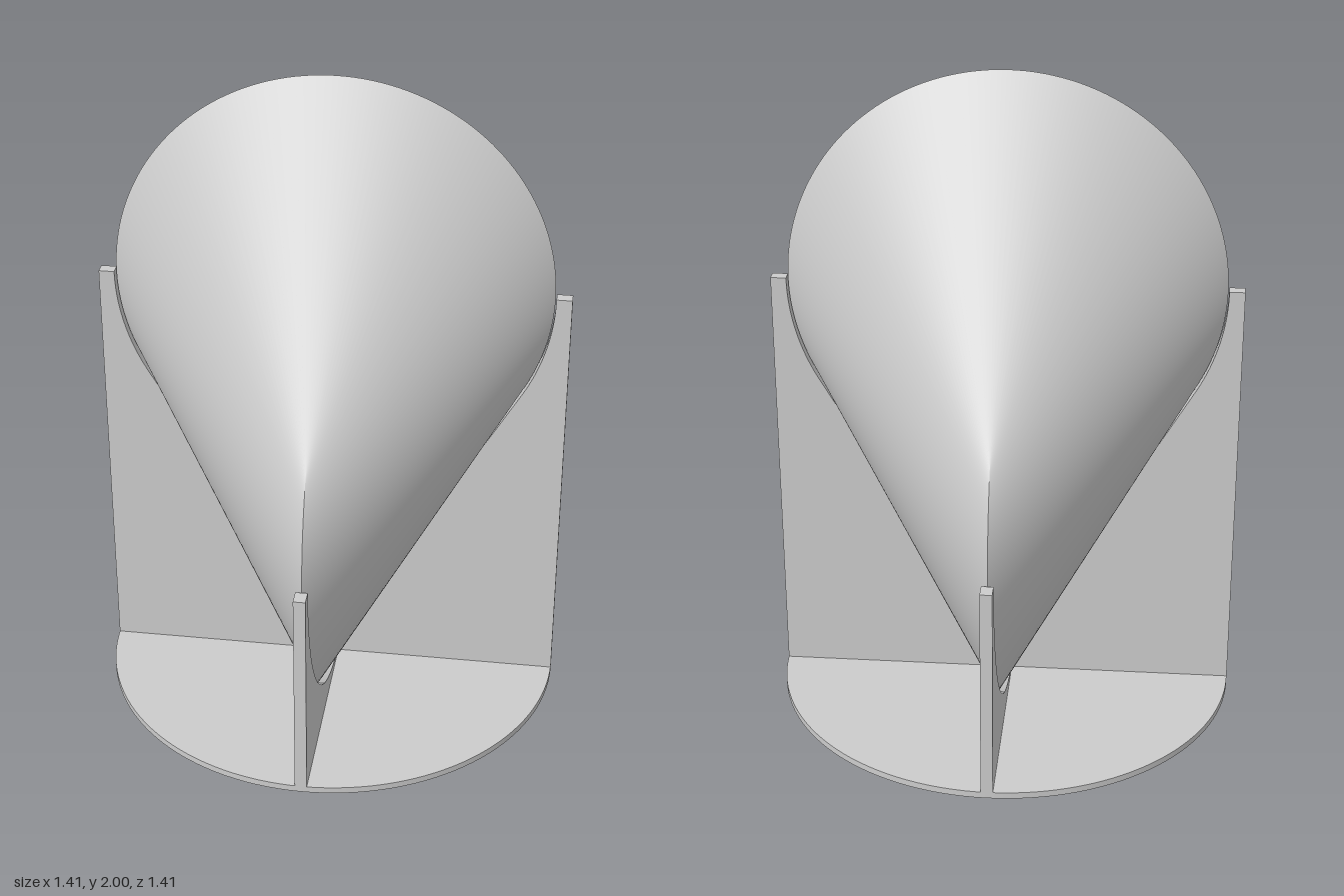
import * as THREE from 'three';

const R = 0.655;         // radius of both generating circles
const MID = 1.0175;      // height of the solid's centre
const RIM = 0.705;       // stand radius
const BASE = 0.02;       // base thickness
const FIN = 0.036;       // fin thickness
const GAP = 0.003;       // clearance between fin and solid

const grey = new THREE.MeshStandardMaterial({ color: 0xcccccc });
grey.name = 'light grey';

// Ruled surface joining two perpendicular circles that pass through each other's centres
function oloidGeometry(steps = 160) {
  const pos = [], nor = [], idx = [];
  const limit = (2 * Math.PI / 3) * 0.999999;
  const a = new THREE.Vector3(), b = new THREE.Vector3();
  const n = new THREE.Vector3(), ruling = new THREE.Vector3();
  for (const side of [1, -1]) {
    const start = pos.length / 3;
    for (let i = 0; i <= steps; i++) {
      const t = limit * Math.sin((i / steps - 0.5) * Math.PI);
      const c = Math.cos(t), s = Math.sin(t);
      a.set(s, 0.5 + c, 0);
      b.set(0, -0.5 + c / (1 + c), side * Math.sqrt(Math.max(0, 1 + 2 * c)) / (1 + c));
      ruling.subVectors(b, a);
      n.set(c, -s, 0).cross(ruling).normalize();
      if (n.dot(a) < 0) n.negate();
      for (const p of [a, b]) {
        pos.push(p.x * R, p.y * R + MID, p.z * R);
        nor.push(n.x, n.y, n.z);
      }
      if (i < steps) {
        const k = start + 2 * i;
        if (side > 0) idx.push(k, k + 1, k + 2, k + 2, k + 1, k + 3);
        else idx.push(k, k + 2, k + 1, k + 2, k + 3, k + 1);
      }
    }
  }
  const g = new THREE.BufferGeometry();
  g.setAttribute('position', new THREE.Float32BufferAttribute(pos, 3));
  g.setAttribute('normal', new THREE.Float32BufferAttribute(nor, 3));
  g.setIndex(idx);
  return g;
}

// Upright plate whose inner edge follows a circle centred at height cy down to endAngle
function finGeometry(cy, endAngle) {
  const r = R + GAP, bottom = MID - 1.5 * R - GAP;
  const shape = new THREE.Shape();
  shape.moveTo(0, BASE);
  shape.lineTo(RIM, BASE);
  shape.lineTo(RIM, cy);
  shape.lineTo(r, cy);
  shape.absarc(0, cy, r, 0, endAngle, true);
  shape.lineTo(0, bottom);
  shape.closePath();
  const g = new THREE.ExtrudeGeometry(shape, { depth: FIN, bevelEnabled: false, curveSegments: 40 });
  return g.translate(0, 0, -FIN / 2);
}

export function createModel() {
  const model = new THREE.Group();
  model.name = 'solidOnStand';
  const add = (name, geometry) => {
    const mesh = new THREE.Mesh(geometry, grey);
    mesh.name = name;
    model.add(mesh);
    return mesh;
  };

  add('rollingSolid', oloidGeometry());

  // Round base plate
  add('basePlate', new THREE.CylinderGeometry(RIM, RIM, BASE, 128)).position.y = BASE / 2;

  // Tall fins left and right, short fins front and back
  const tall = finGeometry(MID + R / 2, -Math.PI / 6);
  const short = finGeometry(MID - R / 2, -Math.PI / 2);
  add('leftFin', tall);
  add('rightFin', tall).rotation.y = Math.PI;
  add('frontFin', short).rotation.y = -Math.PI / 2;
  add('backFin', short).rotation.y = Math.PI / 2;
  return model;
}
